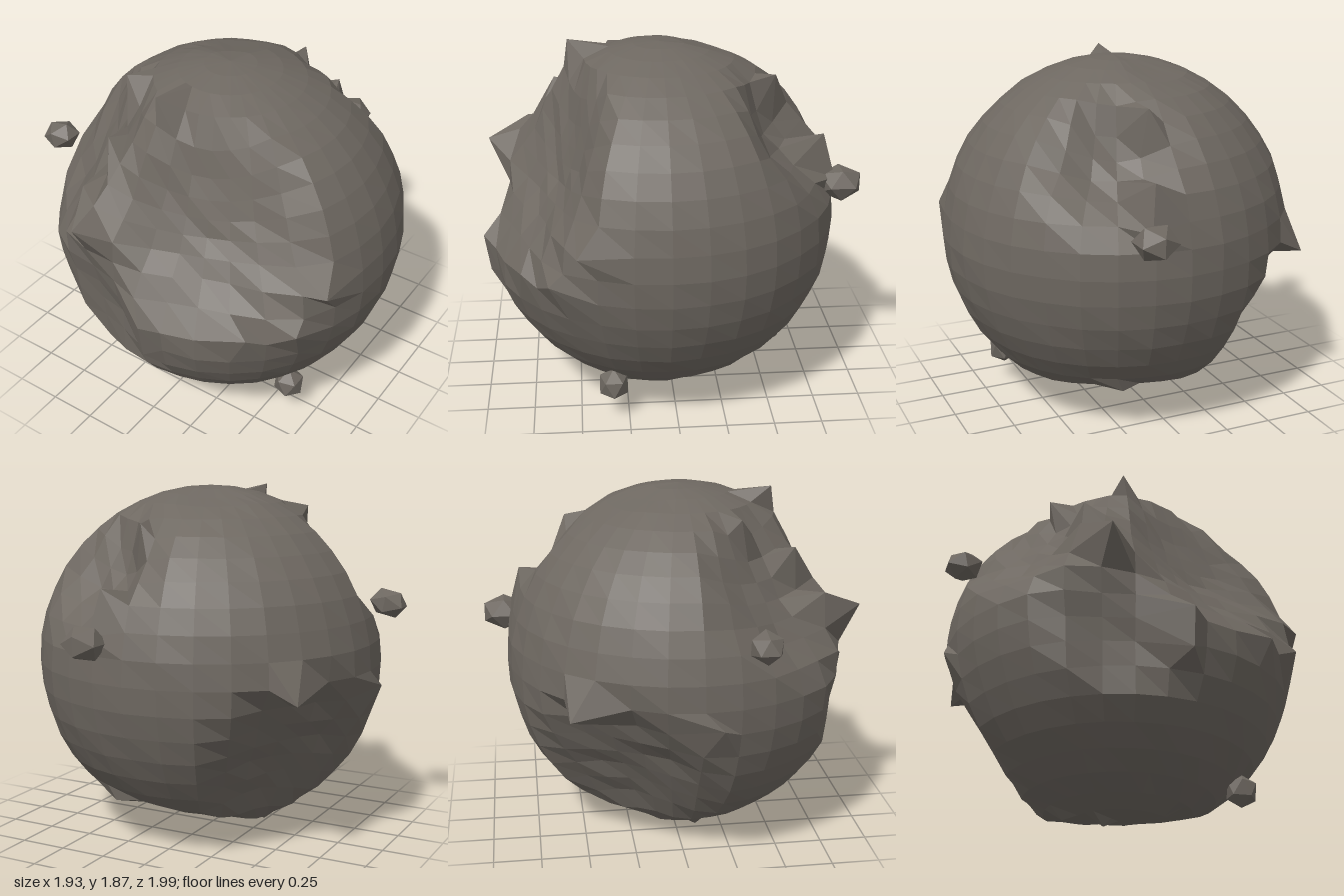
import * as THREE from 'three';
import { mergeVertices } from 'three/addons/utils/BufferGeometryUtils.js';

const CENTER = new THREE.Vector3(0.04, 0.95, 0.05);
const RADIUS = 0.93;

// Each crater: facing direction, distance of its cut plane, extra bowl depth
// (a negative depth leaves a central mound)
const CRATERS = [
  { n: [0.33, 0.46, 0.82], h: 0.73, bowl: 0.09 },      // large front crater
  { n: [-0.6, 0.52, 0.5], h: 0.8, bowl: 0.04 },        // front crater on the -x side
  { n: [-0.22, -0.12, 1], h: 0.835, bowl: 0.03 },      // small dent between the front spikes
  { n: [0.33, 0.58, -0.72], h: 0.85, bowl: 0.1 },      // small back crater
  { n: [-0.75, -0.48, -0.43], h: 0.785, bowl: 0.02 },  // lower crater on the -x side
  { n: [0.1, -0.93, -0.25], h: 0.82, bowl: -0.03 },    // underside crater
  { n: [-0.15, 0.95, -0.25], h: 0.91, bowl: 0 },       // flattened top
].map(c => ({ ...c, n: new THREE.Vector3(...c.n).normalize() }));

// Jagged rim points
const PEAKS = [
  [-0.27, 1.27, 0.97], [0.13, 0.86, 0.995], [0.13, 0.66, 0.965],
  [0.9, 1.06, 0.5], [0.82, 0.88, 0.64], [0.62, 0.86, 0.78], [-0.07, 1.87, 0.52],
  [-0.42, 1.77, 0.3], [-0.31, 1.6, 0.6], [-0.37, 1.37, 0.75],
  [-0.92, 0.86, 0.14], [-0.76, 0.88, -0.59], [-0.07, 0.01, 0.15], [-0.27, 0.04, 0.1],
  [0.12, 1.71, -0.55], [0.2, 1.41, -0.8], [0.24, 1.18, -0.86],
  [0.27, 0.26, -0.58],
];

// Small repeatable roughness
function rough(i) {
  const s = Math.sin(i * 12.9898) * 43758.5453;
  return s - Math.floor(s) - 0.5;
}

function surfaceRadius(d) {
  let r = RADIUS;
  for (const { n, h, bowl } of CRATERS) {
    const c = d.dot(n);
    if (c <= h / RADIUS) continue;
    const t = h / c;
    const s = (RADIUS - t) / (RADIUS - h);
    r = Math.min(r, t - bowl * Math.sqrt(s) * s);
  }
  return r;
}

function asteroidGeometry() {
  let g = new THREE.SphereGeometry(1, 32, 22);
  g.deleteAttribute('uv');
  g.deleteAttribute('normal');
  g = mergeVertices(g, 1e-4);
  const p = g.attributes.position;
  const dirs = [];
  for (let i = 0; i < p.count; i++) {
    const d = new THREE.Vector3().fromBufferAttribute(p, i).normalize();
    dirs.push(d);
    const r = surfaceRadius(d);
    // Craters are rougher; fade the roughness where vertices crowd at the poles
    const noise = (r < RADIUS - 0.03 ? 0.035 : 0.008) * Math.sqrt(1 - Math.min(1, d.y * d.y));
    const v = d.clone().multiplyScalar(r + rough(i + 1) * noise).add(CENTER);
    p.setXYZ(i, v.x, v.y, v.z);
  }
  // Pull the closest vertex out to each rim point
  for (const peak of PEAKS) {
    const d = new THREE.Vector3(...peak).sub(CENTER).normalize();
    let best = 0;
    dirs.forEach((q, i) => { if (q.dot(d) > dirs[best].dot(d)) best = i; });
    p.setXYZ(best, ...peak);
  }
  g.computeVertexNormals();
  return g;
}

export function createModel() {
  const group = new THREE.Group();
  group.name = 'asteroid';
  const stone = new THREE.MeshStandardMaterial({ color: 0x6e6861, flatShading: true });
  stone.name = 'stone';

  const add = (name, geometry) => {
    const mesh = new THREE.Mesh(geometry, stone);
    mesh.name = name;
    group.add(mesh);
    return mesh;
  };

  add('body', asteroidGeometry());

  // Loose boulders: position, half sizes, tilt
  const boulders = [
    ['sideBoulder', [-0.875, 1.265, 0.34], [0.105, 0.08, 0.09], 0.2],
    ['lowerBoulder', [0.61, 0.205, 0.33], [0.085, 0.09, 0.085], 0.5],
    ['backBoulder', [0.24, 1.15, -0.89], [0.115, 0.095, 0.125], 0],
  ];
  for (const [name, pos, size, tilt] of boulders) {
    const rock = add(name, new THREE.IcosahedronGeometry(1, 0));
    rock.position.set(...pos);
    rock.scale.set(...size);
    rock.rotation.z = tilt;
  }
  return group;
}
